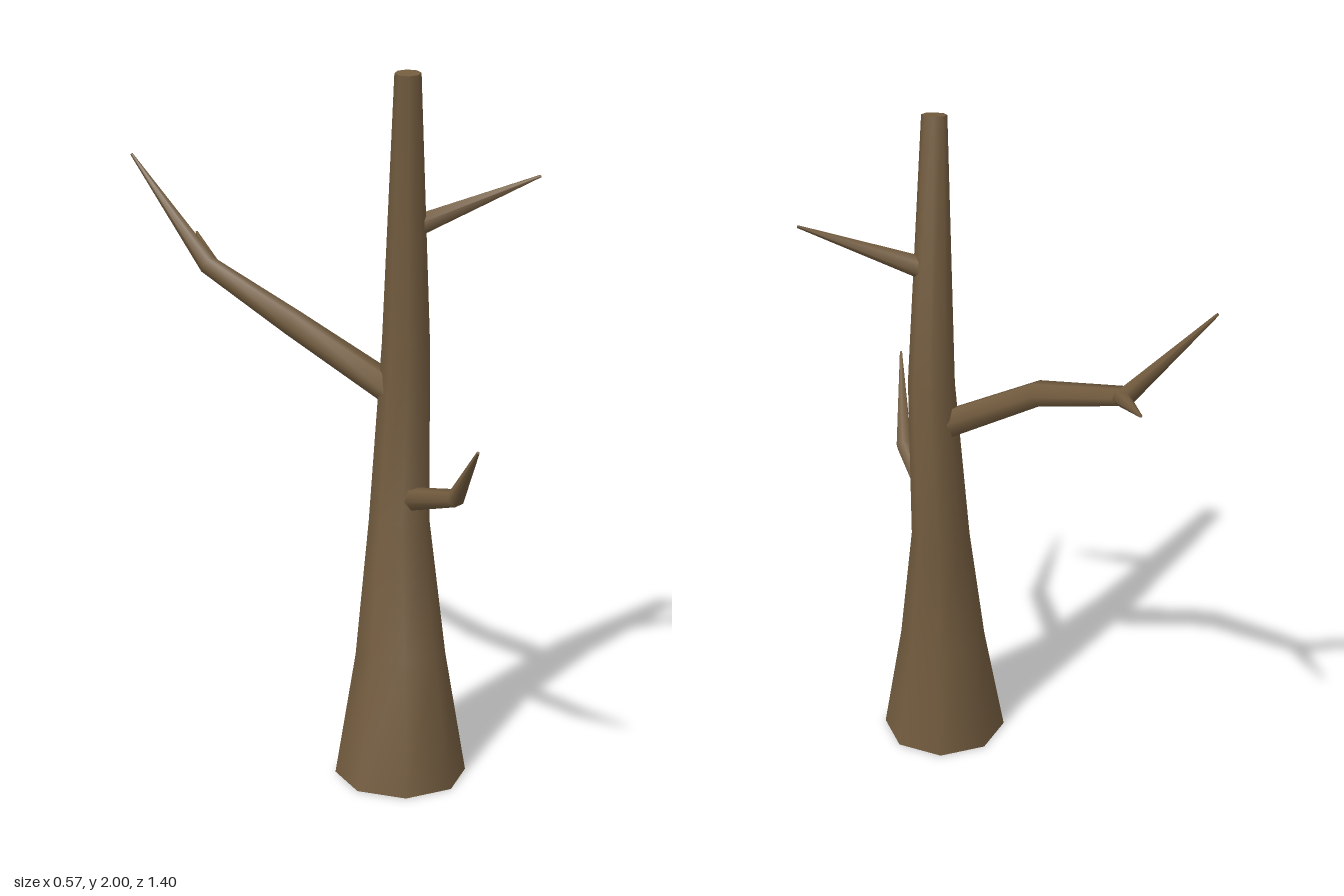
import * as THREE from 'three';

const bark = new THREE.MeshStandardMaterial({ color: 0x735c3f, side: THREE.DoubleSide });

// Tapered limb through stations [x, y, z, radius]; open at the start, capped at the end.
function limb(name, stations, sides, turn = 0, levelStart = false) {
  const points = stations.map(s => new THREE.Vector3(s[0], s[1], s[2]));
  const last = points.length - 1;
  const position = [], index = [];
  const direction = i => points[i + 1].clone().sub(points[i]).normalize();

  const addRing = i => {
    const t = new THREE.Vector3();
    if (i > 0) t.add(direction(i - 1));
    if (i < last) t.add(direction(i));
    if (i === 0 && levelStart) t.set(0, 1, 0);
    t.normalize();
    const u = new THREE.Vector3(1, 0, 0).addScaledVector(t, -t.x).normalize();
    const v = u.clone().cross(t);
    for (let k = 0; k < sides; k++) {
      const a = turn + k / sides * Math.PI * 2;
      const p = points[i].clone()
        .addScaledVector(u, Math.cos(a) * stations[i][3])
        .addScaledVector(v, Math.sin(a) * stations[i][3]);
      position.push(p.x, p.y, p.z);
    }
  };

  // Side walls with shared vertices, so they shade smoothly
  for (let i = 0; i <= last; i++) addRing(i);
  for (let i = 0; i < last; i++) {
    for (let k = 0; k < sides; k++) {
      const a = i * sides + k, b = i * sides + (k + 1) % sides;
      index.push(a, a + sides, b, b, a + sides, b + sides);
    }
  }

  // End cap on its own ring, to keep the rim sharp
  const cap = position.length / 3;
  addRing(last);
  for (let k = 1; k < sides - 1; k++) index.push(cap, cap + k + 1, cap + k);

  const geometry = new THREE.BufferGeometry();
  geometry.setAttribute('position', new THREE.Float32BufferAttribute(position, 3));
  geometry.setIndex(index);
  geometry.computeVertexNormals();
  const mesh = new THREE.Mesh(geometry, bark);
  mesh.name = name;
  return mesh;
}

export function createModel() {
  const tree = new THREE.Group();
  tree.name = 'bareTree';

  // Trunk: flared foot, slight lean, blunt top
  tree.add(limb('trunk', [
    [-0.045, 0, 0.295, 0.187],
    [-0.026, 0.35, 0.278, 0.128],
    [0.015, 0.73, 0.24, 0.086],
    [0.051, 1.24, 0.232, 0.067],
    [-0.041, 1.994, 0.295, 0.036],
  ], 8, 0.08, true));

  // Low branch reaching forward
  tree.add(limb('lowerBranch', [
    [0.025, 0.79, 0.24, 0.036],
    [-0.11, 0.88, 0.515, 0.025],
    [-0.283, 1.08, 0.697, 0.004],
  ], 6));

  // Short straight branch near the top
  tree.add(limb('upperBranch', [
    [0.02, 1.565, 0.26, 0.034],
    [0.28, 1.702, 0.515, 0.004],
  ], 6));

  // Long branch reaching back, with a side twig at its bend
  tree.add(limb('backBranch', [
    [0.03, 1.09, 0.23, 0.045],
    [-0.055, 1.27, -0.085, 0.038],
    [-0.016, 1.388, -0.43, 0.028],
    [-0.045, 1.692, -0.695, 0.004],
  ], 6));
  tree.add(limb('backTwig', [
    [-0.015, 1.38, -0.41, 0.025],
    [0.138, 1.442, -0.605, 0.004],
  ], 6));

  return tree;
}
